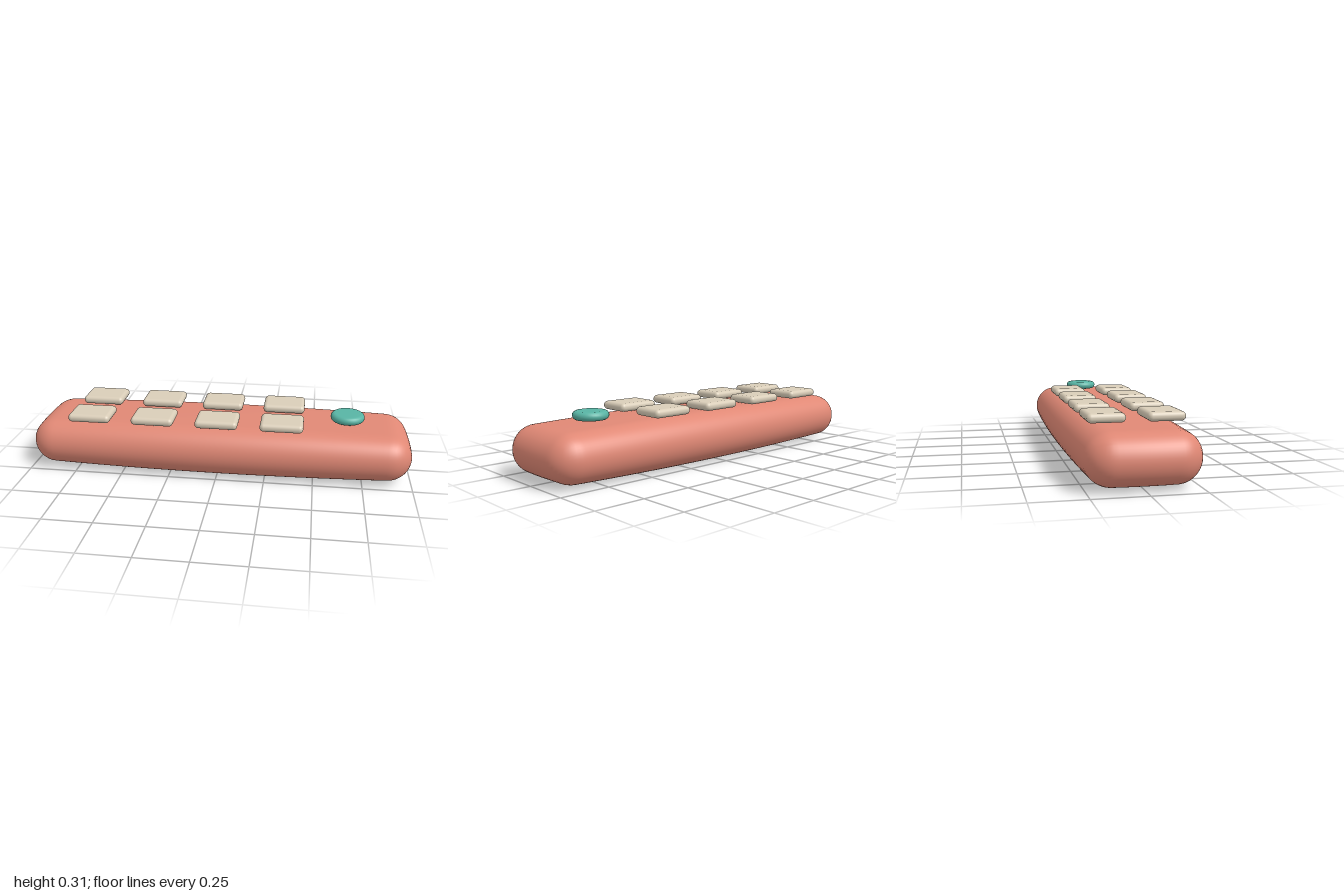
import * as THREE from 'three';
import { mergeVertices } from 'three/addons/utils/BufferGeometryUtils.js';
import { RoundedBoxGeometry } from 'three/addons/geometries/RoundedBoxGeometry.js';

const material = (name, color) => {
  const m = new THREE.MeshStandardMaterial({ color });
  m.name = name;
  return m;
};

// Rounded bar whose faces swell gently towards the middle
function bodyGeometry() {
  const half = new THREE.Vector3(0.985, 0.115, 0.255), r = 0.115;
  const core = half.clone().subScalar(r);
  let geo = new THREE.BoxGeometry(half.x * 2, half.y * 2, half.z * 2, 80, 12, 24);
  geo.deleteAttribute('normal');
  geo.deleteAttribute('uv');
  geo = mergeVertices(geo);
  const pos = geo.attributes.position;
  const p = new THREE.Vector3(), c = new THREE.Vector3();
  for (let i = 0; i < pos.count; i++) {
    p.fromBufferAttribute(pos, i);
    c.copy(p).clamp(core.clone().negate(), core);
    p.sub(c).setLength(r).add(c);
    const u = (p.x / half.x) ** 2, w = (p.z / half.z) ** 2;
    pos.setXYZ(i,
      p.x * (1 + 0.015 * (1 - w)),
      p.y * (1 + 0.148 * (1 - u) * (1 - 0.4 * w)),
      p.z * (1 + 0.086 * (1 - u)));
  }
  geo.computeVertexNormals();
  return geo;
}

// Disc with a rounded rim
function discGeometry(radius, height, bevel) {
  const h = height / 2, points = [new THREE.Vector2(0, -h)];
  for (let i = 0; i <= 8; i++) {
    const a = -Math.PI / 2 + (i / 8) * Math.PI;
    points.push(new THREE.Vector2(radius - bevel + bevel * Math.cos(a), h * Math.sin(a)));
  }
  points.push(new THREE.Vector2(0, h));
  return new THREE.LatheGeometry(points, 40);
}

export function createModel() {
  const model = new THREE.Group();
  model.name = 'remoteControl';
  const coral = material('coral', 0xe08875);
  const cream = material('cream', 0xd9cdb8);
  const teal = material('teal', 0x58b4a4);

  const add = (name, geo, mat, x, y, z) => {
    const mesh = new THREE.Mesh(geo, mat);
    mesh.name = name;
    mesh.position.set(x, y, z);
    model.add(mesh);
  };

  add('body', bodyGeometry(), coral, 0, 0.135, 0);

  // Two rows of four keys floating just above the body
  const key = new RoundedBoxGeometry(0.22, 0.043, 0.173, 3, 0.0205);
  for (const z of [-0.135, 0.135]) {
    for (let i = 0; i < 4; i++) add('key', key, cream, -0.67 + i / 3, 0.291, z);
  }

  add('roundButton', discGeometry(0.088, 0.043, 0.022), teal, 0.666, 0.291, 0);
  return model;
}
